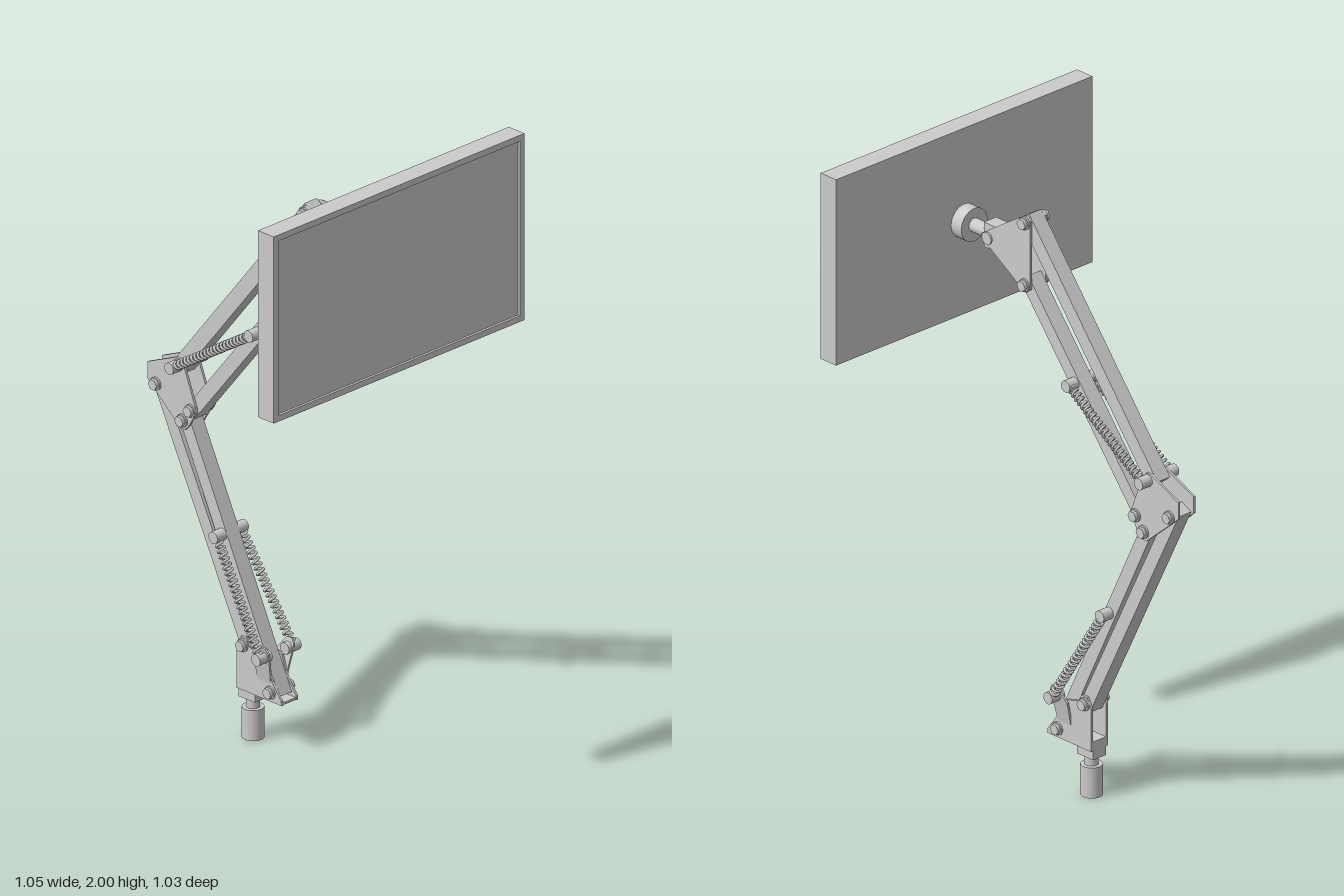
import * as THREE from 'three';

const mat = new THREE.MeshStandardMaterial({ color: 0xcccccc });

function add(parent, name, geo, x = 0, y = 0, z = 0) {
  const m = new THREE.Mesh(geo, mat);
  m.name = name;
  m.position.set(x, y, z);
  parent.add(m);
  return m;
}

// Shape in the z-y plane, extruded along x and centred on x
function sideProfile(points, width) {
  const shape = new THREE.Shape(points.map(([z, y]) => new THREE.Vector2(z, y)));
  const geo = new THREE.ExtrudeGeometry(shape, { depth: width, bevelEnabled: false });
  return geo.rotateY(-Math.PI / 2).translate(width / 2, 0, 0);
}

// Straight bar between two [z, y] pivots, running a little past both
function bar(parent, name, a, b, width, thick, ext) {
  const dz = b[0] - a[0], dy = b[1] - a[1];
  const geo = new THREE.BoxGeometry(width, thick, Math.hypot(dz, dy) + 2 * ext);
  const m = add(parent, name, geo, 0, (a[1] + b[1]) / 2, (a[0] + b[0]) / 2);
  m.rotation.x = -Math.atan2(dy, dz);
}

// Pin lying along x
function pin(parent, name, [z, y], r, x0, x1, sides = 20) {
  const geo = new THREE.CylinderGeometry(r, r, Math.abs(x1 - x0), sides).rotateZ(Math.PI / 2);
  return add(parent, name, geo, (x0 + x1) / 2, y, z);
}

// Pivot: washer and hex head on both sides
function pivot(parent, p) {
  for (const s of [-1, 1]) {
    pin(parent, 'pivotWasher', p, 0.021, s * 0.034, s * 0.041);
    pin(parent, 'pivotBoltHead', p, 0.018, s * 0.04, s * 0.052, 6);
  }
}

// Pair of mirrored plates
function plates(parent, name, points) {
  for (const s of [-1, 1]) add(parent, name, sideProfile(points, 0.008), s * 0.031, 0, 0);
}

class Helix extends THREE.Curve {
  constructor(a, b, radius, turns) {
    super();
    Object.assign(this, { a, b, radius, turns });
    const dir = b.clone().sub(a).normalize();
    this.u = new THREE.Vector3(1, 0, 0).addScaledVector(dir, -dir.x).normalize();
    this.v = dir.clone().cross(this.u);
  }
  getPoint(t, target = new THREE.Vector3()) {
    const w = t * this.turns * Math.PI * 2;
    return target.lerpVectors(this.a, this.b, t)
      .addScaledVector(this.u, Math.cos(w) * this.radius)
      .addScaledVector(this.v, Math.sin(w) * this.radius);
  }
}

// Mirrored coil springs with their anchor pins; ends are [z, y] plus x offset
function springs(parent, p, px, q, qx, turns) {
  for (const s of [-1, 1]) {
    const a = new THREE.Vector3(s * px, p[1], p[0]);
    const b = new THREE.Vector3(s * qx, q[1], q[0]);
    const path = new Helix(a, b, 0.012, turns);
    add(parent, 'spring', new THREE.TubeGeometry(path, turns * 14, 0.0045, 6));
    pin(parent, 'springPin', p, 0.019, s * 0.026, s * (px + 0.016));
    pin(parent, 'springPin', q, 0.019, s * 0.034, s * (qx + 0.018));
  }
}

export function createModel() {
  const root = new THREE.Group();
  const group = (name) => {
    const g = new THREE.Group();
    g.name = name;
    root.add(g);
    return g;
  };

  // Pivot positions as [z, y]
  const baseFront = [0.005, 0.19], baseBack = [-0.11, 0.308];
  const elbowLow = [-0.365, 0.96], elbowBack = [-0.476, 1.045];
  const elbowTop = [-0.383, 1.135], elbowFront = [-0.33, 1.003];
  const headTop = [0.148, 1.8], headLow = [0.148, 1.597];

  // Base: clamp post, swivel and bracket
  const base = group('base');
  add(base, 'post', new THREE.CylinderGeometry(0.034, 0.034, 0.1, 32), 0, 0.05, -0.103);
  add(base, 'swivelShaft', new THREE.CylinderGeometry(0.021, 0.021, 0.05, 24), 0, 0.12, -0.103);
  add(base, 'swivelBlock', new THREE.BoxGeometry(0.054, 0.06, 0.068), 0, 0.16, -0.103);
  add(base, 'bracketFloor', new THREE.BoxGeometry(0.06, 0.008, 0.185), 0, 0.164, -0.043);
  plates(base, 'bracketPlate', [[0.052, 0.16], [0.05, 0.175], [0.012, 0.225], [-0.01, 0.29],
    [-0.085, 0.31], [-0.095, 0.333], [-0.12, 0.333], [-0.137, 0.3], [-0.137, 0.16]]);
  // Ears flaring outwards to carry the lower springs
  const earShape = [[0.005, 0], [0.018, 0.11], [0.007, 0.128], [-0.015, 0.126], [-0.05, 0.08], [-0.05, 0]];
  for (const s of [-1, 1]) {
    const ear = add(base, 'springEar', sideProfile(earShape, 0.007), s * 0.031, 0.215, 0);
    ear.rotation.z = -s * 0.2;
  }
  pivot(base, baseFront);
  pivot(base, baseBack);

  // Lower arm
  const lower = group('lowerArm');
  bar(lower, 'lowerFrontBar', baseFront, elbowLow, 0.052, 0.045, 0.02);
  bar(lower, 'lowerBackBar', baseBack, elbowBack, 0.052, 0.045, 0.02);
  springs(lower, [-0.206, 0.637], 0.05, [-0.005, 0.308], 0.069, 22);

  // Elbow
  const elbow = group('elbow');
  plates(elbow, 'elbowPlate', [[-0.36, 1.14], [-0.375, 1.157], [-0.395, 1.157], [-0.513, 1.105],
    [-0.513, 1.05], [-0.375, 0.932], [-0.355, 0.932], [-0.342, 0.945], [-0.308, 1.0], [-0.312, 1.02]]);
  for (const p of [elbowLow, elbowBack, elbowFront]) pivot(elbow, p);

  // Upper arm
  const upper = group('upperArm');
  bar(upper, 'upperTopBar', headTop, elbowTop, 0.052, 0.05, 0.018);
  bar(upper, 'upperLowBar', headLow, elbowFront, 0.052, 0.045, 0.02);
  springs(upper, [-0.058, 1.342], 0.049, elbowTop, 0.057, 24);

  // Head bracket and neck
  const head = group('head');
  plates(head, 'headPlate', [[0.335, 1.69], [0.335, 1.705], [0.165, 1.815], [0.145, 1.825],
    [0.125, 1.812], [0.125, 1.588], [0.145, 1.572], [0.165, 1.583]]);
  pivot(head, headTop);
  pivot(head, headLow);
  for (const s of [-1, 1]) pin(head, 'tiltBoltHead', [0.308, 1.697], 0.02, s * 0.034, s * 0.041);
  add(head, 'neckBlock', new THREE.BoxGeometry(0.05, 0.08, 0.085), 0, 1.697, 0.293);
  add(head, 'neckShaft', new THREE.CylinderGeometry(0.022, 0.022, 0.08, 24).rotateX(Math.PI / 2), 0, 1.697, 0.37);
  add(head, 'mountDisc', new THREE.CylinderGeometry(0.054, 0.054, 0.045, 32).rotateX(Math.PI / 2), 0, 1.697, 0.425);

  // Screen: flat body with a raised rim around the recessed panel
  const screen = group('screen');
  const rect = (path, w, h) => path.moveTo(-w, -h).lineTo(w, -h).lineTo(w, h).lineTo(-w, h).closePath();
  const rim = new THREE.Shape();
  rect(rim, 0.527, 0.305);
  const hole = new THREE.Path();
  rect(hole, 0.507, 0.285);
  rim.holes.push(hole);
  add(screen, 'rim', new THREE.ExtrudeGeometry(rim, { depth: 0.066, bevelEnabled: false }), 0, 1.695, 0.446);
  add(screen, 'panel', new THREE.BoxGeometry(1.014, 0.57, 0.058), 0, 1.695, 0.475);

  return root;
}
